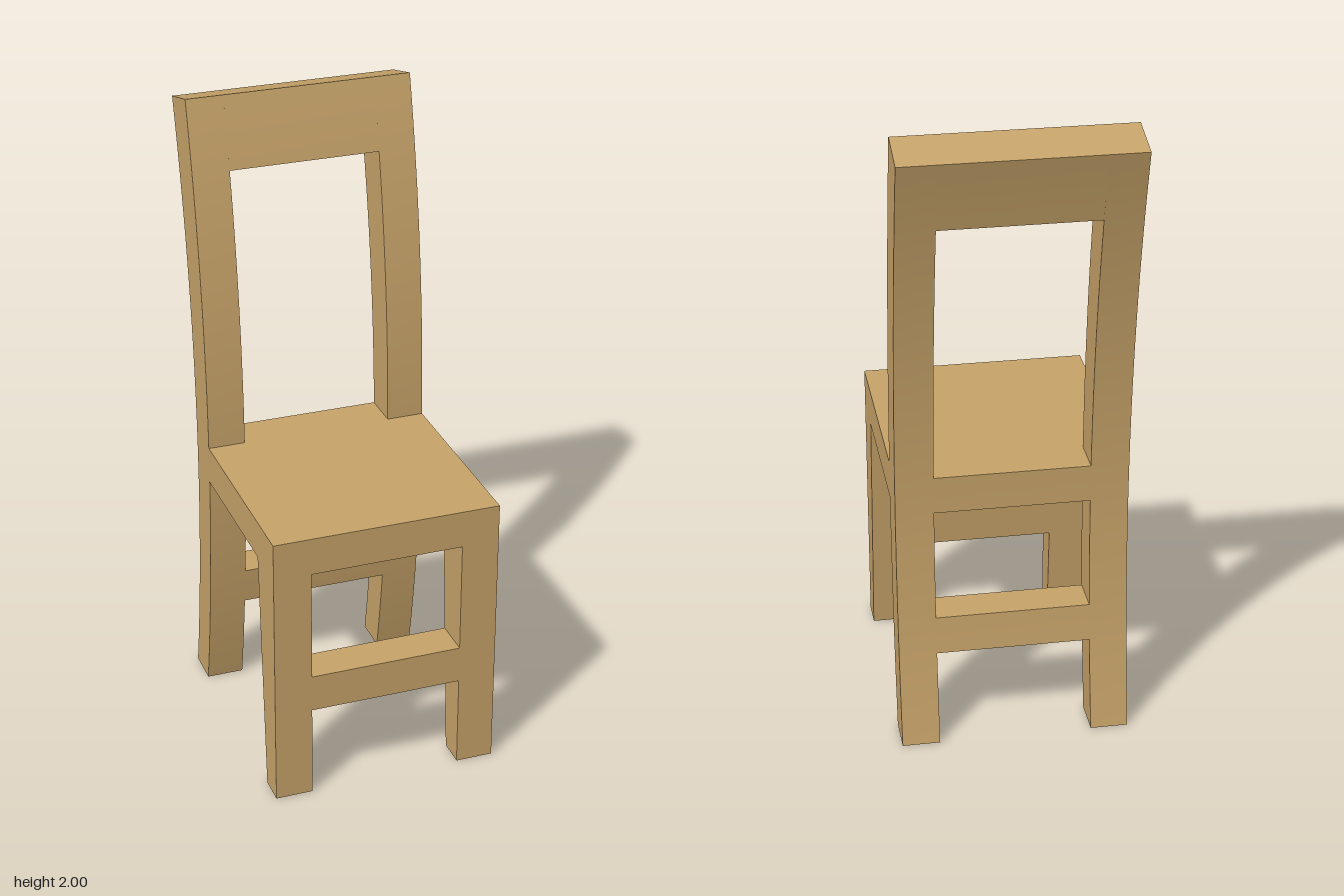
import * as THREE from 'three';
import { toCreasedNormals } from 'three/addons/utils/BufferGeometryUtils.js';

const HALF = 0.358;   // half width of the chair
const INNER = 0.24;   // inner edge of legs and posts
const FRONT = 0.467;  // front plane
const SEAT_LOW = 0.78, SEAT_TOP = 0.9;

// Curved front and rear faces of the back frame, z as a function of height
const backFront = (y) => -0.173 - 0.113 * (y - 0.84) ** 2;
const backRear = (y) => -0.298 - 0.121 * (y - 0.78) ** 2;
// Tapered inner face of the front legs
const legRear = (y) => 0.377 - 0.061 * (y / SEAT_LOW);

// Side profile between two faces; heights may differ front to rear
function profile(front, rear, f0, f1, r0, r1, steps) {
  const pts = [];
  for (let i = 0; i <= steps; i++) {
    const y = r0 + ((r1 - r0) * i) / steps;
    pts.push(new THREE.Vector2(rear(y), y));
  }
  for (let i = steps; i >= 0; i--) {
    const y = f0 + ((f1 - f0) * i) / steps;
    pts.push(new THREE.Vector2(front(y), y));
  }
  return new THREE.Shape(pts);
}

const backProfile = (f0, f1, r0 = f0, r1 = f1, steps = 4) =>
  profile(backFront, backRear, f0, f1, r0, r1, steps);
const legProfile = (y0, y1) => profile(() => FRONT, legRear, y0, y1, y0, y1, 1);

export function createModel() {
  const chair = new THREE.Group();
  chair.name = 'chair';
  const wood = new THREE.MeshStandardMaterial({ color: 0xc8a46a });
  wood.name = 'light wood';

  // Extrude a side profile (z, y) across the width from x0 to x1
  function addPart(name, shape, x0, x1) {
    const flat = new THREE.ExtrudeGeometry(shape, { depth: x1 - x0, bevelEnabled: false });
    flat.rotateY(-Math.PI / 2).translate(x1, 0, 0);
    const mesh = new THREE.Mesh(toCreasedNormals(flat, 0.3), wood);
    mesh.name = name;
    chair.add(mesh);
  }

  // Legs and back posts, one of each per side
  for (const [side, x0, x1] of [['left', INNER, HALF], ['right', -HALF, -INNER]]) {
    addPart(side + 'BackPost', backProfile(0, 2, 0, 1.963, 28), x0, x1);
    addPart(side + 'FrontLeg', legProfile(0, SEAT_LOW), x0, x1);
  }

  // Seat slab, reaching the posts
  const seatDepth = FRONT + 0.175;
  const seat = new THREE.Mesh(new THREE.BoxGeometry(2 * HALF, SEAT_TOP - SEAT_LOW, seatDepth), wood);
  seat.name = 'seat';
  seat.position.set(0, (SEAT_TOP + SEAT_LOW) / 2, FRONT - seatDepth / 2);
  chair.add(seat);

  // Crosspieces between the legs and posts
  addPart('seatBackRail', backProfile(SEAT_LOW, SEAT_TOP), -INNER, INNER);
  addPart('rearStretcher', backProfile(0.3, 0.42), -INNER, INNER);
  addPart('frontStretcher', legProfile(0.3, 0.42), -INNER, INNER);
  addPart('topRail', backProfile(1.777, 2, 1.745, 1.963), -INNER, INNER);

  return chair;
}
